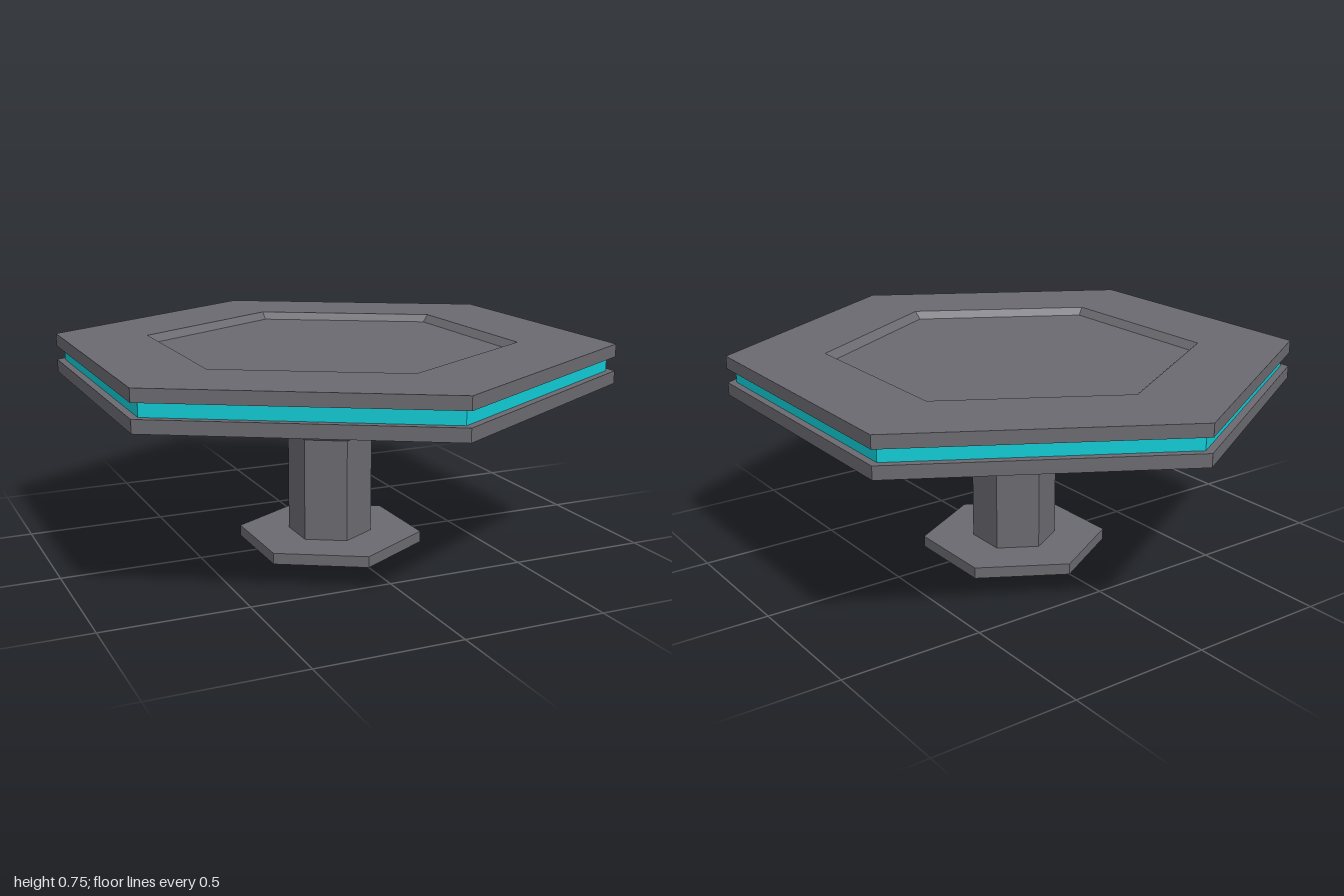
import * as THREE from 'three';

const grey = new THREE.MeshStandardMaterial({ color: 0x6b6a70, flatShading: true });
const cyan = new THREE.MeshStandardMaterial({ color: 0x10ccd6, flatShading: true });

// Six-sided solid from a [radius, y] profile, listed bottom to top; corners point along z
function hexPart(name, profile, material) {
  const points = profile.map(([r, y]) => new THREE.Vector2(r, y));
  const mesh = new THREE.Mesh(new THREE.LatheGeometry(points, 6), material);
  mesh.name = name;
  return mesh;
}

// Plain hexagonal plate
const plate = (name, r, y0, y1, material) =>
  hexPart(name, [[0, y0], [r, y0], [r, y1], [0, y1]], material);

export function createModel() {
  const table = new THREE.Group();
  table.name = 'hexagonalTable';

  table.add(
    plate('foot', 0.334, 0, 0.04, grey),
    // column flaring out into a collar under the top
    hexPart('pedestal', [[0.152, 0.04], [0.152, 0.41], [0.265, 0.52], [0.265, 0.61]], grey),
    plate('lowerSlab', 1, 0.61, 0.655, grey),
    plate('lightBand', 0.97, 0.655, 0.705, cyan),
    // upper slab with a shallow bevelled recess
    hexPart('upperSlab', [
      [0, 0.705], [1, 0.705], [1, 0.75], [0.66, 0.75], [0.63, 0.725], [0, 0.725],
    ], grey),
  );
  return table;
}
